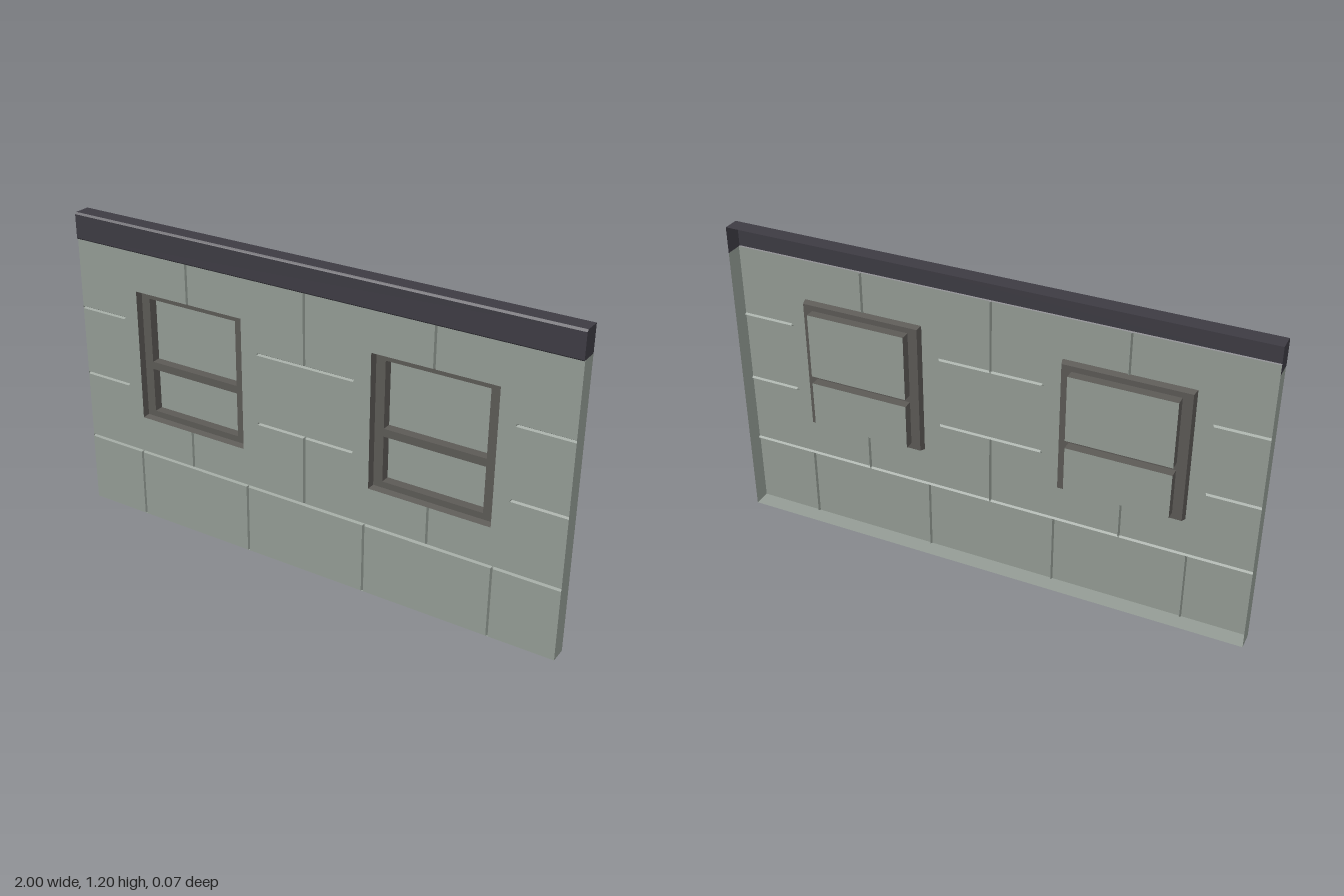
import * as THREE from 'three';

const mat = (name, color) => new THREE.MeshStandardMaterial({ name, color, side: THREE.DoubleSide });

const TOP = 1.1, BACK = -0.033, FRONT = 0.03;
const WINDOW = { half: 0.235, y0: 0.43, y1: 0.945 };
const WINDOW_X = [-0.5, 0.5];

// Flat-shaded mesh from a list of quads (four [x, y, z] corners, counter-clockwise)
function quadMesh(name, quads, material) {
  const pos = [];
  for (const [a, b, c, d] of quads) pos.push(...a, ...b, ...c, ...a, ...c, ...d);
  const geo = new THREE.BufferGeometry();
  geo.setAttribute('position', new THREE.Float32BufferAttribute(pos, 3));
  geo.computeVertexNormals();
  const mesh = new THREE.Mesh(geo, material);
  mesh.name = name;
  return mesh;
}

// Corners of a rectangle [x0, y0, x1, y1] at depth z
const corners = ([x0, y0, x1, y1], z) => [[x0, y0, z], [x1, y0, z], [x1, y1, z], [x0, y1, z]];

// Four sides joining a front rectangle to a rear one, facing inwards
function loft(rectA, zA, rectB, zB) {
  const a = corners(rectA, zA), b = corners(rectB, zB);
  return a.map((p, i) => [p, a[(i + 1) % 4], b[(i + 1) % 4], b[i]]);
}

// Panel joints: horizontal ones as [y, x0, x1], vertical ones as [x, y0, y1]
const ROW = [0.28, 0.553, 0.826];
const hJoints = [[ROW[0], -1, 1]];
for (const y of ROW.slice(1)) hJoints.push([y, -1, -0.8], [y, -0.195, 0.195], [y, 0.8, 1]);
const vJoints = [[0, ROW[0], ROW[1]], [0, ROW[2], TOP]];
for (const x of [-0.75, -0.25, 0.25, 0.75]) vJoints.push([x, 0, ROW[0]]);
for (const x of WINDOW_X) vJoints.push([x, ROW[0], WINDOW.y0], [x, WINDOW.y1, TOP]);

// Front sheet: an uneven grid pushed in along the joints, left open at the windows
function wallFront(material) {
  const w = 0.005, depth = 0.008, e = 1e-6;
  const xs = new Set([-1, 1]), ys = new Set([0, TOP]);
  for (const [y, x0, x1] of hJoints) {
    [y - w, y, y + w].forEach(v => ys.add(v));
    xs.add(x0).add(x1);
    if (x0 > -1) xs.add(x0 - w);
    if (x1 < 1) xs.add(x1 + w);
  }
  for (const [x] of vJoints) [x - w, x, x + w].forEach(v => xs.add(v));
  for (const x of WINDOW_X) xs.add(x - WINDOW.half).add(x + WINDOW.half);
  ys.add(WINDOW.y0).add(WINDOW.y1);
  const X = [...xs].sort((a, b) => a - b), Y = [...ys].sort((a, b) => a - b);

  const hit = (list, u, v) => list.some(([p, a, b]) => Math.abs(u - p) < e && v > a - e && v < b + e);
  const point = (x, y) => {
    const sunk = hit(hJoints, y, x) || hit(vJoints, x, y);
    return [x, y, (y < ROW[0] ? FRONT + 0.002 : FRONT) - (sunk ? depth : 0)];
  };
  const quads = [];
  for (let i = 0; i + 1 < X.length; i++) for (let j = 0; j + 1 < Y.length; j++) {
    const cx = (X[i] + X[i + 1]) / 2, cy = (Y[j] + Y[j + 1]) / 2;
    const open = cy > WINDOW.y0 && cy < WINDOW.y1 && WINDOW_X.some(x => Math.abs(cx - x) < WINDOW.half);
    if (open) continue;
    quads.push([point(X[i], Y[j]), point(X[i + 1], Y[j]), point(X[i + 1], Y[j + 1]), point(X[i], Y[j + 1])]);
  }
  return quadMesh('wallPanels', quads, material);
}

// Recessed window: lip, flat frame with a crossbar, two tunnels and two panes
function windowUnit(cx, frameMat, paneMat) {
  const group = new THREE.Group();
  group.name = 'window';
  const { half, y0, y1 } = WINDOW;
  const outer = [cx - half, y0, cx + half, y1];
  const inset = 0.006, ringZ = 0.006, paneZ = -0.03;
  const ring = [outer[0] + inset, y0 + inset, outer[2] - inset, y1 - inset];
  const openings = [[0.46, 0.635], [0.665, 0.918]].map(([a, b]) => [cx - 0.193, a, cx + 0.193, b]);

  const path = (r, target) => target.setFromPoints(corners(r, 0).map(([x, y]) => new THREE.Vector2(x, y)));
  const shape = path(ring, new THREE.Shape());
  for (const o of openings) shape.holes.push(path(o, new THREE.Path()));
  const face = new THREE.Mesh(new THREE.ShapeGeometry(shape), frameMat);
  face.name = 'windowFrame';
  face.position.z = ringZ;

  const sides = loft(outer, FRONT, ring, ringZ);
  for (const o of openings) sides.push(...loft(o, ringZ, o, paneZ));
  group.add(face, quadMesh('windowReveals', sides, frameMat));
  group.add(quadMesh('windowPanes', openings.map(o => corners(o, paneZ)), paneMat));
  return group;
}

export function createModel() {
  const wall = mat('wallGreyGreen', 0x949c95);
  const frame = mat('frameBrownGrey', 0x5c5a56);
  const trim = mat('trimCharcoal', 0x3d3b43);

  const model = new THREE.Group();
  model.name = 'windowWall';
  model.add(wallFront(wall));

  // Wall ends and underside; the back stays open
  const zf = FRONT + 0.002;
  const end = (x, y0, y1, z) => {
    const q = [[x, y0, z], [x, y0, BACK], [x, y1, BACK], [x, y1, z]];
    return x > 0 ? q : q.reverse();
  };
  const rim = [[[-1, 0, BACK], [1, 0, BACK], [1, 0, zf], [-1, 0, zf]]];
  for (const x of [-1, 1]) rim.push(end(x, 0, ROW[0], zf), end(x, ROW[0], TOP, FRONT));
  model.add(quadMesh('wallRim', rim, wall));

  for (const x of WINDOW_X) model.add(windowUnit(x, frame, wall));

  // Top trim: a chamfered profile [z, y] swept along the wall, with closed ends
  const profile = [[0.03, 1.097], [0.035, 1.102], [0.035, 1.193], [0.028, 1.2], [BACK, 1.2]];
  const cap = [];
  for (let i = 0; i + 1 < profile.length; i++) {
    const [z0, ya] = profile[i], [z1, yb] = profile[i + 1];
    cap.push([[-1, ya, z0], [1, ya, z0], [1, yb, z1], [-1, yb, z1]]);
  }
  for (const x of [-1, 1]) {
    cap.push(end(x, TOP, 1.193, 0.035));
    const tip = [[x, 1.193, 0.035], [x, 1.193, BACK], [x, 1.2, BACK], [x, 1.2, 0.028]];
    cap.push(x > 0 ? tip : tip.reverse());
  }
  model.add(quadMesh('topTrim', cap, trim));
  return model;
}
